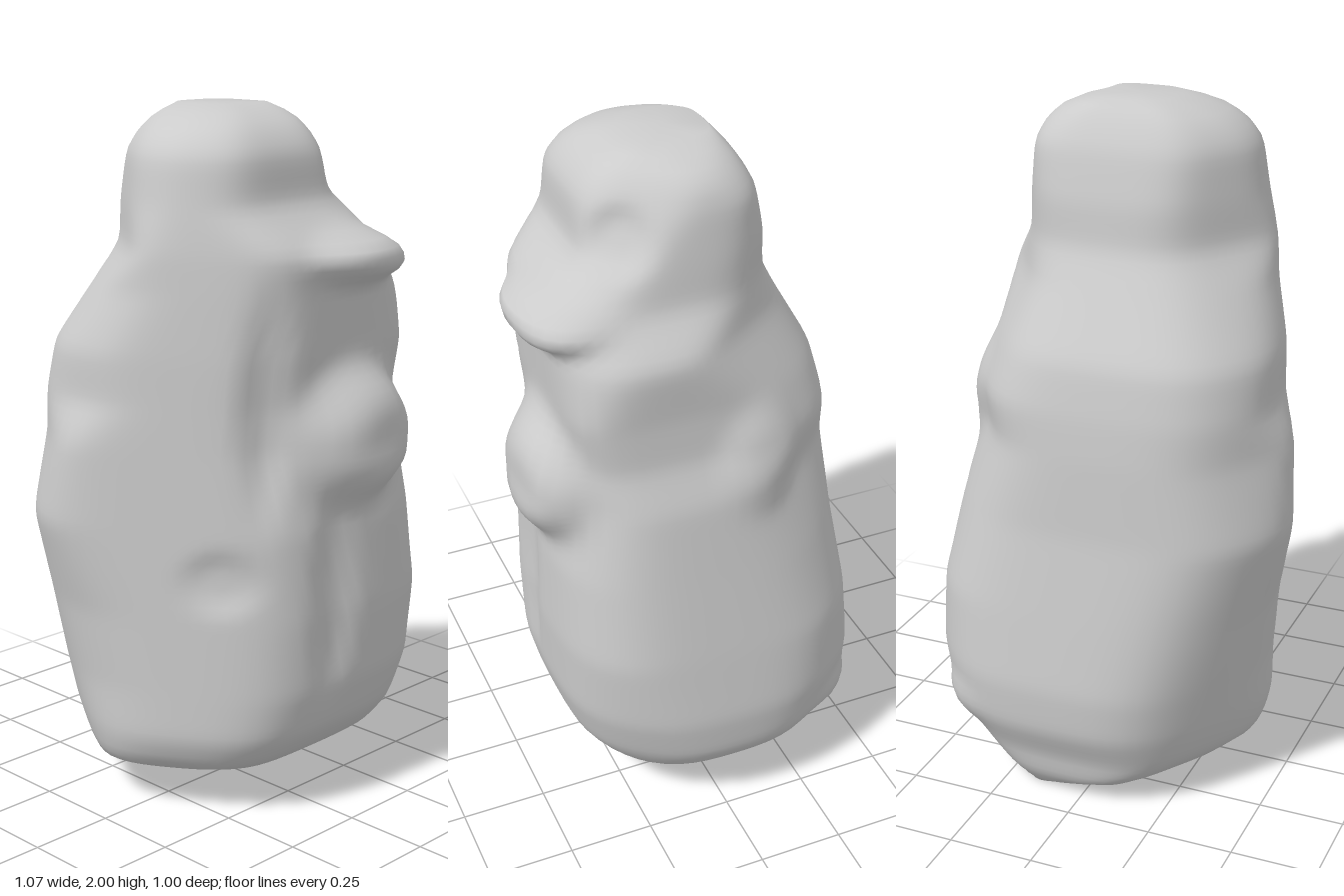
import * as THREE from 'three';

// Body reach per height: y, min x, max x, min z, max z,
// then slanted reach toward +x+z, +x-z, -x-z, -x+z
const SECTIONS = [
  [0.0, 0.02, 0.22, -0.38, -0.15, 0.07, 0.35, 0.11, -0.14],
  [0.06, -0.26, 0.27, -0.43, 0.06, 0.2, 0.42, 0.34, 0.16],
  [0.14, -0.43, 0.45, -0.44, 0.3, 0.45, 0.49, 0.41, 0.35],
  [0.24, -0.45, 0.53, -0.49, 0.38, 0.51, 0.55, 0.44, 0.395],
  [0.38, -0.45, 0.54, -0.5, 0.42, 0.55, 0.575, 0.47, 0.395],
  [0.6, -0.475, 0.51, -0.475, 0.43, 0.57, 0.57, 0.515, 0.395],
  [0.85, -0.54, 0.47, -0.445, 0.42, 0.54, 0.5, 0.57, 0.395],
  [1.08, -0.535, 0.435, -0.44, 0.37, 0.51, 0.42, 0.52, 0.395],
  [1.2, -0.465, 0.385, -0.43, 0.37, 0.5, 0.44, 0.52, 0.395],
  [1.34, -0.465, 0.375, -0.405, 0.39, 0.53, 0.385, 0.495, 0.395],
  [1.51, -0.41, 0.385, -0.31, 0.4, 0.47, 0.3, 0.385, 0.39],
  [1.62, -0.405, 0.29, -0.25, 0.41, 0.38, 0.285, 0.31, 0.385],
  [1.74, -0.365, 0.275, -0.24, 0.28, 0.32, 0.285, 0.305, 0.37],
  [1.88, -0.34, 0.255, -0.205, 0.27, 0.24, 0.28, 0.29, 0.35],
  [1.96, -0.27, 0.22, -0.16, 0.21, 0.19, 0.21, 0.235, 0.28],
  [2.0, -0.13, 0.08, -0.12, 0.1, 0.11, 0.115, 0.14, 0.13],
];
const SLANTS = [[1, 1], [1, -1], [-1, -1], [-1, 1]];
const [C1, S1, C2, S2] = [0.84, 0.543, 0.47, 0.883];

// Swellings and hollows: x, y, z, radius, height, vertical stretch
const BUMPS = [
  [0.1, 1.1, 0.38, 0.18, 0.12, 0.95],    // chest
  [0.13, 1.6, 0.41, 0.19, 0.08, 0.35],   // snout
  [0.37, 1.16, -0.13, 0.11, 0.03, 1.3],  // side knob
  [-0.2, 1.2, 0.34, 0.06, -0.03, 5],     // front groove
  [0.0, 0.66, 0.43, 0.07, -0.025, 4],    // lower groove
  [-0.3, 0.72, 0.27, 0.1, -0.02, 0.8],   // hollow under the arm
  [0.35, 0.26, -0.36, 0.1, 0.02, 0.7],   // tail stub
  [0.21, 1.8, 0.22, 0.09, -0.03, 1],     // eye hollow
];

function rawSection(y) {
  let i = 0;
  while (i < SECTIONS.length - 2 && SECTIONS[i + 1][0] < y) i++;
  const a = SECTIONS[i], b = SECTIONS[i + 1];
  const t = (y - a[0]) / (b[0] - a[0]);
  return a.map((v, k) => v + (b[k] - v) * t);
}

// Section softened against its neighbours
function sectionAt(y) {
  const h = Math.min(0.03, y, 2 - y);
  const lower = rawSection(y - h), upper = rawSection(y + h);
  return rawSection(y).map((v, k) => v / 2 + (lower[k] + upper[k]) / 4);
}

// Bounding sides of one section, as direction and distance from its middle
function sectionSides(y) {
  const [, x0, x1, z0, z1, ...slant] = sectionAt(y);
  const cx = (x0 + x1) / 2, cz = (z0 + z1) / 2;
  const halfX = (x1 - x0) / 2, halfZ = (z1 - z0) / 2;
  const planes = [[1, 0, halfX], [-1, 0, halfX], [0, 1, halfZ], [0, -1, halfZ]];
  SLANTS.forEach(([sx, sz], k) => {
    const reach = slant[k] - cx * sx * C1 - cz * sz * S1;
    const corner = (reach - S1 * halfZ) / C1;
    planes.push([sx * C1, sz * S1, reach]);
    planes.push([sx * C2, sz * S2, 0.94 * (C2 * corner + S2 * halfZ)]);
  });
  return { cx, cz, planes };
}

// Rounded many-sided outline with sculpted lumps
function surfacePoint({ cx, cz, planes }, y, angle) {
  const c = Math.cos(angle), s = Math.sin(angle);
  let sum = 0;
  for (const [dx, dz, reach] of planes) {
    sum += Math.pow(Math.max(0, c * dx + s * dz) / reach, 18);
  }
  const radius = 1.01 * Math.pow(sum, -1 / 18);
  const x = cx + c * radius, z = cz + s * radius;

  let push = 0;
  for (const [bx, by, bz, r, h, stretch] of BUMPS) {
    const d = ((x - bx) ** 2 + ((y - by) / stretch) ** 2 + (z - bz) ** 2) / (r * r);
    push += h * Math.exp(-d * d);
  }
  return [x + c * push, y, z + s * push];
}

function buildBody() {
  const levels = [];
  for (let i = 0; i < SECTIONS.length - 1; i++) {
    const a = SECTIONS[i][0], b = SECTIONS[i + 1][0];
    const n = Math.ceil((b - a) / 0.025);
    for (let k = 0; k < n; k++) levels.push(a + (b - a) * k / n);
  }
  levels.push(2);

  const sides = 72, pos = [], index = [];
  for (const y of levels) {
    const section = sectionSides(y);
    for (let j = 0; j < sides; j++) pos.push(...surfacePoint(section, y, j / sides * Math.PI * 2));
  }
  for (let i = 0; i < levels.length - 1; i++) {
    for (let j = 0; j < sides; j++) {
      const k = (j + 1) % sides;
      const a = i * sides + j, b = i * sides + k;
      index.push(a, a + sides, b, b, a + sides, b + sides);
    }
  }
  // Close the underside and the crown
  const bottom = pos.length / 3, top = bottom + 1, last = (levels.length - 1) * sides;
  pos.push(0.12, 0, -0.265, -0.025, 2, -0.01);
  for (let j = 0; j < sides; j++) {
    const k = (j + 1) % sides;
    index.push(bottom, j, k, top, last + k, last + j);
  }
  const geometry = new THREE.BufferGeometry();
  geometry.setAttribute('position', new THREE.Float32BufferAttribute(pos, 3));
  geometry.setIndex(index);
  geometry.computeVertexNormals();
  return geometry;
}

export function createModel() {
  const group = new THREE.Group();
  group.name = 'carvedFigure';
  const body = new THREE.Mesh(buildBody(), new THREE.MeshStandardMaterial({ color: 0xcccccc }));
  body.name = 'body';
  group.add(body);
  return group;
}
